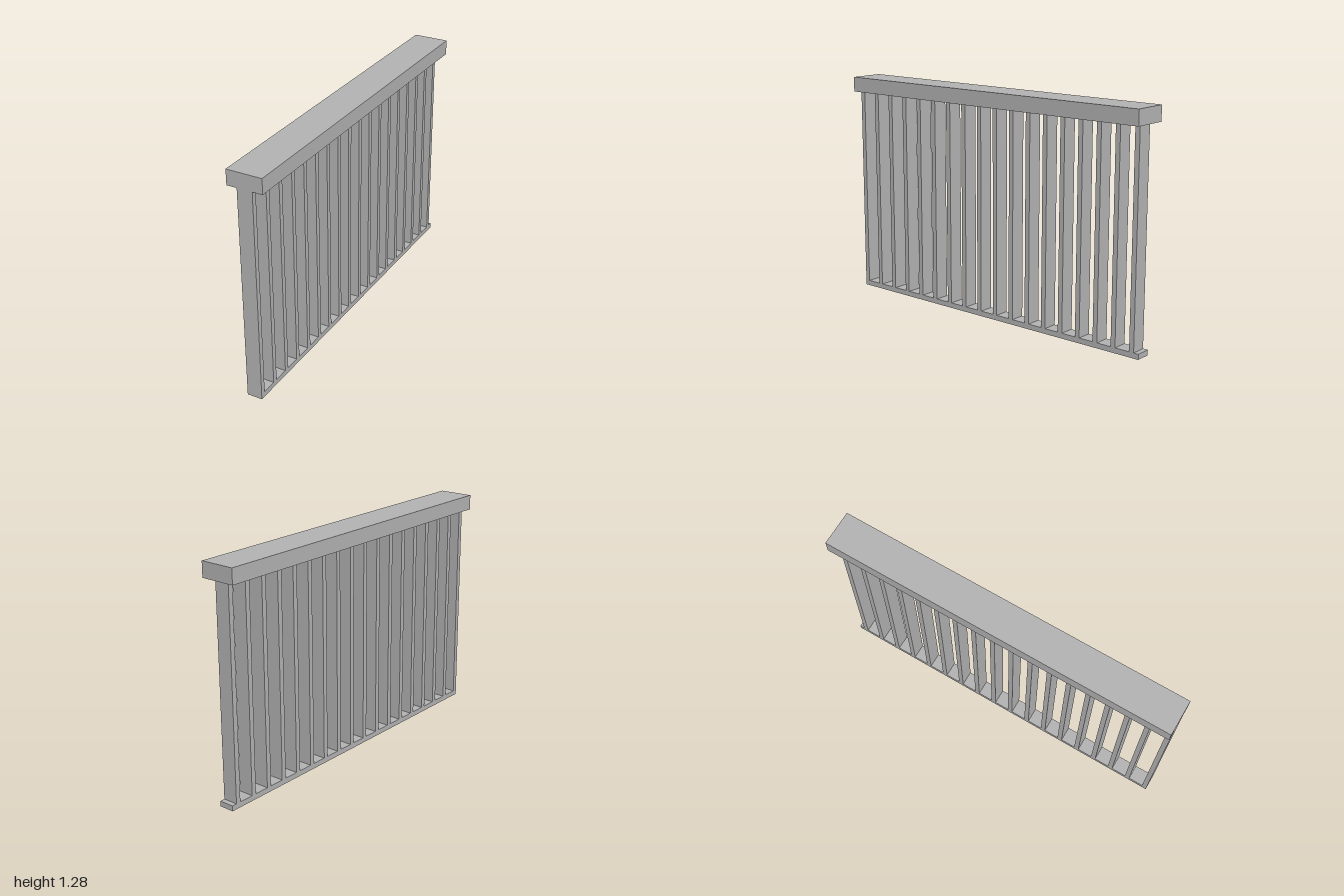
import * as THREE from 'three';

export function createModel() {
  const model = new THREE.Group();
  model.name = 'railing';
  const grey = new THREE.MeshStandardMaterial({ color: 0xb2b2b2 });
  grey.name = 'grey';

  const railBase = 0.03, railTop = 1.2, height = 1.285;
  const slatCount = 18, slatDepth = 0.028, spacing = 0.1143;

  // Box standing between two heights, centred on x = 0
  function addBox(name, width, y0, y1, depth, z) {
    const mesh = new THREE.Mesh(new THREE.BoxGeometry(width, y1 - y0, depth), grey);
    mesh.name = name;
    mesh.position.set(0, (y0 + y1) / 2, z);
    model.add(mesh);
  }

  // Wide handrail and narrow bottom rail
  addBox('handrail', 0.2, railTop, height, 2, 0);
  addBox('bottomRail', 0.086, 0, railBase, 2, 0);

  // Evenly spaced slats, the first flush with the front end
  for (let i = 0; i < slatCount; i++) {
    addBox(`slat${i + 1}`, 0.086, railBase, railTop, slatDepth, 1 - slatDepth / 2 - i * spacing);
  }
  return model;
}
